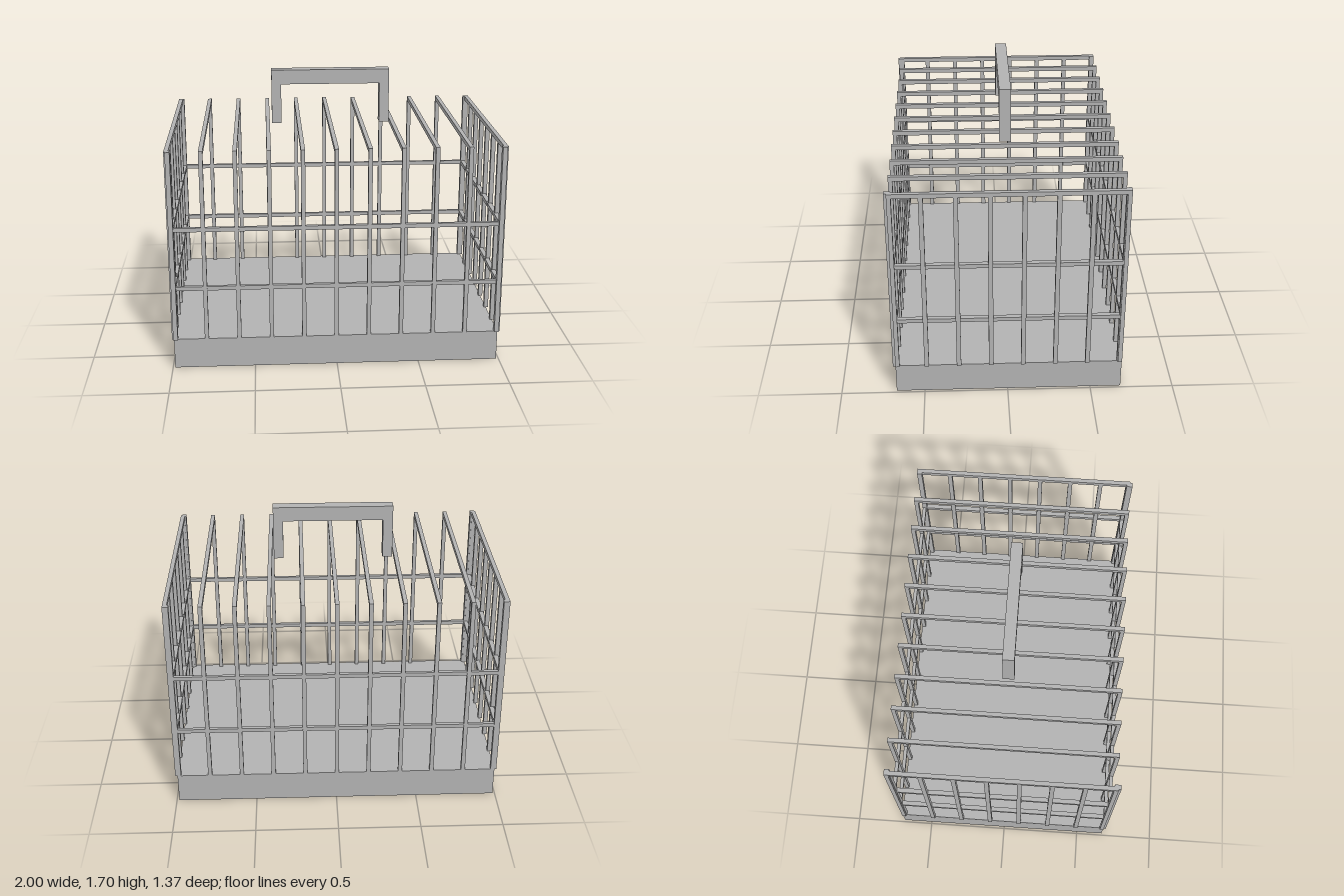
import * as THREE from 'three';

export function createModel() {
  const root = new THREE.Group();
  root.name = 'cage';
  const grey = new THREE.MeshStandardMaterial({ color: 0xb2b2b2 });
  grey.name = 'grey';

  // Box given by its limits on each axis
  function box(name, x0, x1, y0, y1, z0, z1, parent = root) {
    const mesh = new THREE.Mesh(new THREE.BoxGeometry(x1 - x0, y1 - y0, z1 - z0), grey);
    mesh.position.set((x0 + x1) / 2, (y0 + y1) / 2, (z0 + z1) / 2);
    mesh.name = name;
    parent.add(mesh);
  }

  const floorY = 0.187, topY = 1.36;
  const front = 0.67, back = -0.685, bar = 0.025;

  // Solid base
  box('base', -0.987, 0.985, 0, floorY, back, front);

  // Hoops: front upright, roof bar and back upright
  for (let i = -5; i <= 5; i++) {
    const hoop = new THREE.Group();
    hoop.name = 'hoop';
    const x = Math.abs(i) === 5 ? Math.sign(i) * 0.986 : i * 0.1965 - 0.003;
    const h = Math.abs(i) === 5 ? 0.013 : 0.0125;
    box('frontBar', x - h, x + h, floorY, topY, front - bar, front, hoop);
    box('backBar', x - h, x + h, floorY, topY, back, back + bar, hoop);
    box('roofBar', x - h, x + h, topY - 0.027, topY, back + bar, front - bar, hoop);
    root.add(hoop);
  }

  for (const side of [-1, 1]) {
    // Side uprights
    for (let i = 0; i < 6; i++) {
      const z = -0.477 + i * 0.192;
      box('sideBar', side * 0.986 - 0.013, side * 0.986 + 0.013, floorY, topY - 0.027, z - 0.0135, z + 0.0135);
    }
    // Corner posts set just inside the end hoops
    const x = side * 0.977;
    box('frontCornerPost', x - 0.014, x + 0.014, floorY, topY, 0.648, 0.685);
    box('backCornerPost', x - 0.014, x + 0.014, floorY, topY, back, -0.655);
  }

  // Two levels of rails around the cage
  for (const y of [0.512, 0.882]) {
    const y0 = y - 0.0125, y1 = y + 0.0125;
    box('frontRail', -0.965, 0.965, y0, y1, front - bar + 0.001, front - 0.002);
    box('backRail', -0.965, 0.965, y0, y1, back + 0.002, back + bar - 0.001);
    // Side rails run in short lengths between the uprights
    for (const side of [-1, 1]) {
      for (let i = 0; i < 7; i++) {
        const z0 = i === 0 ? -0.655 : -0.477 + (i - 1) * 0.192 + 0.0135;
        const z1 = i === 6 ? 0.648 : -0.477 + i * 0.192 - 0.0135;
        box('sideRail', side * 0.978 - 0.014, side * 0.978 + 0.014, y0, y1, z0, z1);
      }
    }
  }

  // Carrying handle
  const shape = new THREE.Shape([
    [-0.37, topY], [-0.31, topY], [-0.31, 1.607], [0.305, 1.607],
    [0.305, topY], [0.365, topY], [0.365, 1.697], [-0.37, 1.697],
  ].map(([x, y]) => new THREE.Vector2(x, y)));
  const handle = new THREE.Mesh(new THREE.ExtrudeGeometry(shape, { depth: 0.07, bevelEnabled: false }), grey);
  handle.position.z = -0.042;
  handle.name = 'handle';
  root.add(handle);

  return root;
}
